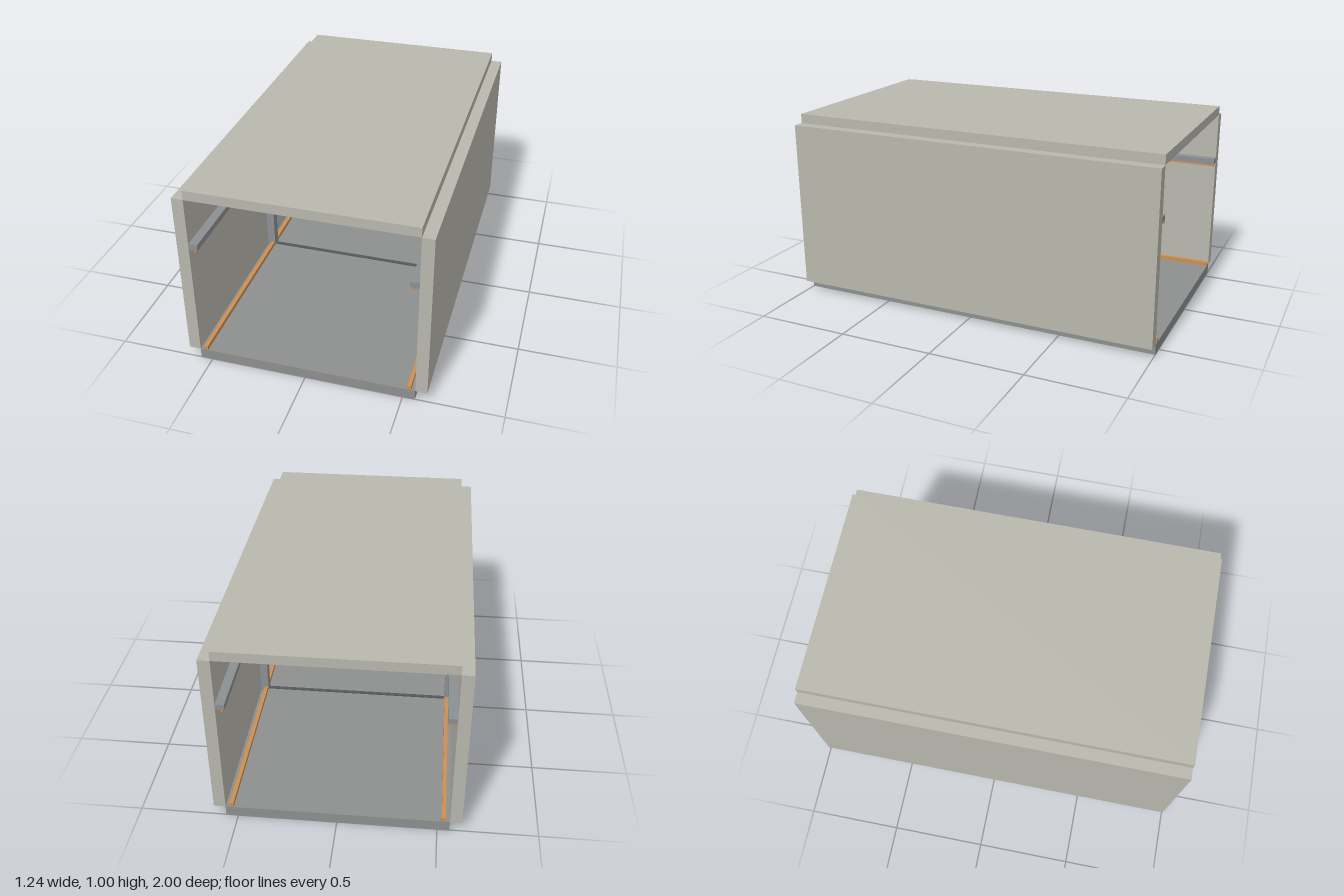
import * as THREE from 'three';

const mat = (name, color) => {
  const m = new THREE.MeshStandardMaterial({ color });
  m.name = name;
  return m;
};

export function createModel() {
  const panel = mat('pale panel', 0xb9b8ae);
  const slab = mat('floor grey', 0x8e8f8f);
  const steel = mat('steel grey', 0x8d9093);
  const copper = mat('copper', 0xcd8f52);
  const dark = mat('dark joint', 0x55585a);
  const group = new THREE.Group();

  // Box from its lower and upper limits on each axis
  const box = (name, material, [x0, x1], [y0, y1], [z0, z1]) => {
    const mesh = new THREE.Mesh(new THREE.BoxGeometry(x1 - x0, y1 - y0, z1 - z0), material);
    mesh.position.set((x0 + x1) / 2, (y0 + y1) / 2, (z0 + z1) / 2);
    mesh.name = name;
    group.add(mesh);
  };
  const full = [-1, 1];

  // Open-ended shell
  box('floor', slab, [-0.562, 0.562], [0, 0.054], full);
  box('roof', panel, [-0.562, 0.562], [0.95, 1], full);
  box('floorJoint', dark, [-0.52, 0.52], [0.054, 0.059], [-0.01, 0.01]);

  // Mirrored side parts
  for (const [side, s] of [['left', 1], ['right', -1]]) {
    const span = (a, b) => (s > 0 ? [a, b] : [-b, -a]);
    box(side + 'Wall', panel, span(0.562, 0.622), [0.054, 0.95], full);
    box(side + 'Column', steel, span(0.518, 0.562), [0.054, 0.95], [-0.025, 0.025]);
    box(side + 'Rail', steel, span(0.517, 0.562), [0.673, 0.703], full);
    box(side + 'RailConductor', copper, span(0.524, 0.535), [0.661, 0.673], full);
    box(side + 'FloorConductor', copper, span(0.521, 0.541), [0.054, 0.077], full);
  }
  return group;
}
